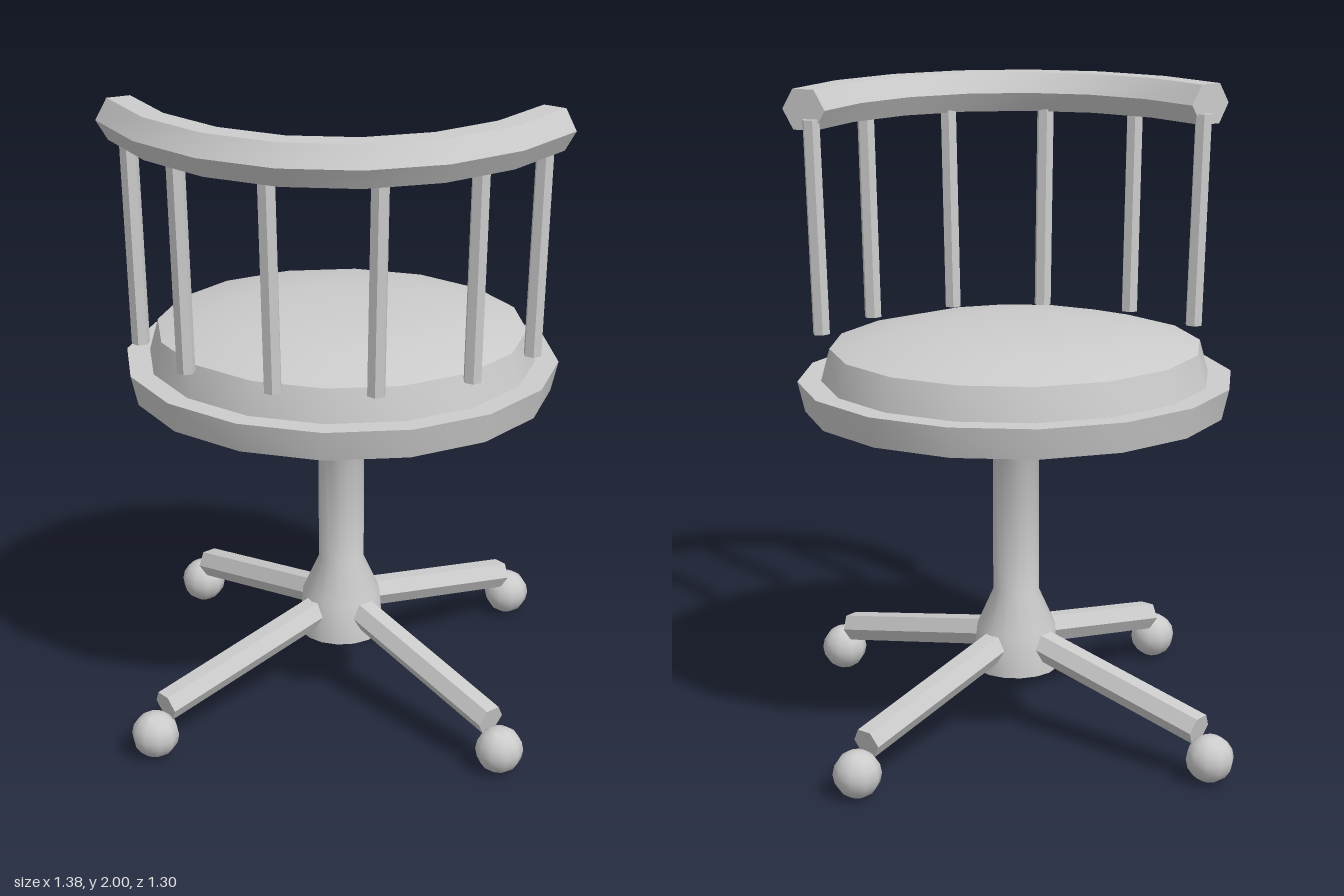
import * as THREE from 'three';
import { toCreasedNormals } from 'three/addons/utils/BufferGeometryUtils.js';

const grey = new THREE.MeshStandardMaterial({ color: 0xcccccc });
const CENTRE_Z = -0.035; // axis of seat, column and legs
const V = (x, y, z) => new THREE.Vector3(x, y, z);

function part(name, geometry, crease = 0.5) {
  const mesh = new THREE.Mesh(toCreasedNormals(geometry, crease), grey);
  mesh.name = name;
  return mesh;
}

function lathe(name, profile, zScale = 1, crease = 0.5) {
  const points = profile.map(([r, y]) => new THREE.Vector2(r, y));
  const mesh = part(name, new THREE.LatheGeometry(points, 16).scale(1, 1, zScale), crease);
  mesh.position.z = CENTRE_Z;
  return mesh;
}

// Six-sided bar between two points
function bar(name, from, to, radius) {
  const geometry = new THREE.CylinderGeometry(radius, radius, from.distanceTo(to), 6)
    .rotateX(Math.PI / 2) // along z
    .rotateZ(Math.PI / 2); // flat side up
  const mesh = part(name, geometry);
  mesh.position.copy(from).add(to).multiplyScalar(0.5);
  mesh.lookAt(to);
  return mesh;
}

// Hexagonal rail swept along an oval arc, closed at both ends
function arcRail(rx, rz, y, centreZ, radius, start, segments) {
  const positions = [], index = [], n = 6;
  for (let i = 0; i <= segments; i++) {
    const angle = start + (i / segments) * (Math.PI - 2 * start);
    for (let k = 0; k < n; k++) {
      const a = (k / n) * Math.PI * 2;
      const out = radius * Math.cos(a);
      positions.push(
        (rx + out) * Math.cos(angle),
        y + radius * Math.sin(a),
        centreZ + (rz + out) * Math.sin(angle));
    }
  }
  for (let i = 0; i < segments; i++) {
    for (let k = 0; k < n; k++) {
      const a = i * n + k, b = i * n + (k + 1) % n;
      index.push(a, b, a + n, b, b + n, a + n);
    }
  }
  const last = segments * n;
  for (let k = 1; k < n - 1; k++) {
    index.push(0, k + 1, k, last, last + k, last + k + 1);
  }
  const geometry = new THREE.BufferGeometry();
  geometry.setAttribute('position', new THREE.Float32BufferAttribute(positions, 3));
  geometry.setIndex(index);
  return geometry;
}

export function createModel() {
  const chair = new THREE.Group();
  chair.name = 'swivelChair';

  // Seat: slightly oval rim with a domed cushion
  chair.add(lathe('seatRim', [[0, 1.045], [0.647, 1.045], [0.669, 1.14], [0, 1.14]], 0.92));
  chair.add(lathe('seatCushion',
    [[0, 1.13], [0.597, 1.14], [0.57, 1.24], [0.39, 1.286], [0.22, 1.301], [0, 1.305]], 0.922));

  // Central column with flared top and foot
  chair.add(lathe('column',
    [[0, 0.2], [0.135, 0.2], [0.123, 0.335], [0.072, 0.45], [0.072, 0.945], [0.15, 1.047], [0, 1.047]],
    1, 0.8));

  // Four legs with ball feet
  for (const sx of [-1, 1]) {
    for (const sz of [-1, 1]) {
      chair.add(bar('leg',
        V(sx * 0.06, 0.292, CENTRE_Z + sz * 0.06),
        V(sx * 0.498, 0.16, CENTRE_Z + sz * 0.498), 0.048));
      const foot = part('ballFoot', new THREE.SphereGeometry(0.073, 10, 8), 1);
      foot.position.set(sx * 0.527, 0.078, CENTRE_Z + sz * 0.527);
      chair.add(foot);
    }
  }

  // Curved back rail
  chair.add(part('backRail', arcRail(0.714, 0.783, 1.938, -0.197, 0.072, 0.496, 7)));

  // Spindles: [bottom x, bottom z, top x, top z], mirrored
  const spindles = [
    [0.588, 0.17, 0.606, 0.168],
    [0.417, 0.395, 0.43, 0.412],
    [0.148, 0.525, 0.158, 0.545],
  ];
  for (const s of [-1, 1]) {
    for (const [bx, bz, tx, tz] of spindles) {
      chair.add(bar('spindle', V(s * bx, 1.24, bz), V(s * tx, 1.91, tz), 0.028));
    }
  }
  return chair;
}
